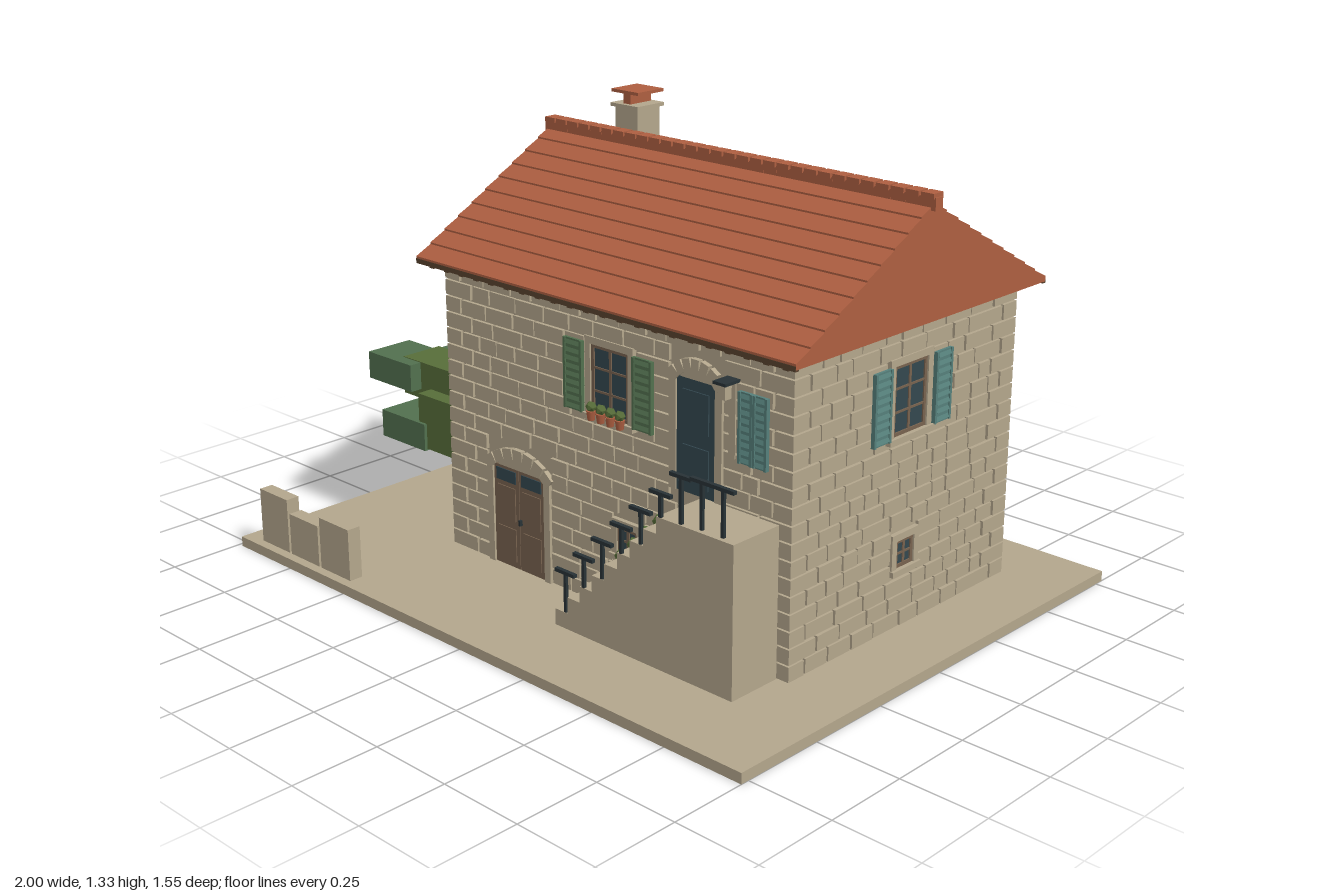
import * as THREE from 'three';
import { mergeGeometries } from 'three/addons/utils/BufferGeometryUtils.js';

const mat = (name, color) => Object.assign(new THREE.MeshStandardMaterial({ color }), { name });
const stone = mat('stone', 0xb3a68c), tile = mat('terracotta', 0xae5f41), wood = mat('door wood', 0x78634f),
  darkWood = mat('dark wood', 0x59432f), glass = mat('dark blue glass', 0x33474f), metal = mat('iron', 0x283236),
  teal = mat('teal paint', 0x56807b), leaf = mat('leaf green', 0x576d39), moss = mat('blue green', 0x52704f);

let seed = 7;
const rand = () => (seed = (seed * 16807) % 2147483647) / 2147483647;

function add(parent, name, geo, material, p = [0, 0, 0]) {
  const m = new THREE.Mesh(geo, material);
  m.name = name;
  m.position.set(...p);
  parent.add(m);
  return m;
}
const box = (parent, name, material, size, p) => add(parent, name, new THREE.BoxGeometry(...size), material, p);
// box given by its limits
const span = (parent, name, material, x0, x1, y0, y1, z0, z1) =>
  box(parent, name, material, [x1 - x0, y1 - y0, z1 - z0], [(x0 + x1) / 2, (y0 + y1) / 2, (z0 + z1) / 2]);
const group = (parent, name) => {
  const g = new THREE.Group();
  g.name = name;
  parent.add(g);
  return g;
};

const X0 = -0.485, X1 = 0.785, Z0 = -0.565, Z1 = 0.355, Y0 = 0.03, Y1 = 0.89;
const ROWS = 18, ROW = (Y1 - Y0) / ROWS, CX = (X0 + X1) / 2, CZ = (Z0 + Z1) / 2;

// Coursed stones on one wall, leaving out the openings [u0, u1, y0, y1]
function stones(wall, u0, u1, odd, openings) {
  const parts = [];
  for (let r = 0; r < ROWS; r++) {
    const y = Y0 + r * ROW, inset = r % 2 === odd ? 0.1 : 0.055;
    let spans = [[u0 + inset, u1 - inset]];
    for (const [a, b, c, d] of openings) {
      if (y + ROW * 0.7 < c || y + ROW * 0.3 > d) continue;
      spans = spans.flatMap(([s, e]) => (b <= s || a >= e ? [[s, e]] : [[s, a], [b, e]])).filter(([s, e]) => e - s > 0.015);
    }
    for (const [s, e] of spans) {
      let u = s;
      while (u < e - 0.001) {
        let w = 0.06 + rand() * 0.06;
        if (e - u - w < 0.045) w = e - u;
        const d = 0.007 + rand() * 0.004;
        parts.push(new THREE.BoxGeometry(w - 0.006, ROW - 0.006, d).translate(u + w / 2, y + ROW / 2, d / 2));
        u += w;
      }
    }
  }
  add(wall, 'wallStones', mergeGeometries(parts), stone);
}

// Stone surround, dark panes and wooden bars
function window_(wall, u, y, w, h, bars) {
  const g = group(wall, 'window'), t = 0.02;
  g.position.set(u, y, 0);
  box(g, 'glass', glass, [w, h, 0.004], [0, 0, 0.003]);
  for (const s of [-1, 1]) {
    box(g, 'surroundJamb', stone, [t, h, 0.014], [s * (w + t) / 2, 0, 0.007]);
    box(g, 'frameSide', wood, [0.01, h, 0.009], [s * (w / 2 - 0.005), 0, 0.0045]);
    box(g, 'frameRail', wood, [w, 0.01, 0.009], [0, s * (h / 2 - 0.005), 0.0045]);
  }
  box(g, 'lintel', stone, [w + 2 * t, t, 0.014], [0, (h + t) / 2, 0.007]);
  box(g, 'sill', stone, [w + 2.4 * t, t * 0.8, 0.022], [0, -(h + t * 0.8) / 2, 0.011]);
  box(g, 'mullion', wood, [0.009, h, 0.008], [0, 0, 0.004]);
  for (let i = 1; i <= bars; i++) box(g, 'glazingBar', wood, [w, 0.006, 0.008], [0, -h / 2 + (i * h) / (bars + 1), 0.004]);
}

// Louvred shutter
function shutter(wall, u, y, w, h, material) {
  const g = group(wall, 'shutter');
  g.position.set(u, y, 0.012);
  box(g, 'panel', material, [w, h, 0.008], [0, 0, 0.004]);
  for (const s of [-1, 1]) box(g, 'stile', material, [0.008, h, 0.005], [s * (w / 2 - 0.004), 0, 0.0095]);
  for (let i = 0; i < 9; i++) {
    const slat = box(g, 'slat', material, [w - 0.016, 0.012, 0.004], [0, -h / 2 + (i + 0.5) * h / 9, 0.009]);
    slat.rotation.x = -0.4;
  }
}
function shutteredWindow(wall, u, material) {
  window_(wall, u, 0.682, 0.14, 0.195, 2);
  for (const s of [-1, 1]) shutter(wall, u + s * 0.129, 0.682, 0.07, 0.2, material);
}

// Jambs, lintel and a ring of wedge stones round a doorway
function doorSurround(wall, u, half, y0, top, rise) {
  const g = group(wall, 'doorSurround'), a = half + 0.01, R = (a * a + rise * rise) / (2 * rise), A = Math.asin(a / R);
  for (const s of [-1, 1]) box(g, 'jamb', stone, [0.024, top - y0, 0.014], [u + s * (half + 0.012), (y0 + top) / 2, 0.007]);
  box(g, 'lintel', stone, [half * 1.6, rise, 0.01], [u, top + rise / 2, 0.005]);
  for (let i = 0; i < 7; i++) {
    const t = ((i - 3) / 3) * A;
    const v = box(g, 'archStone', stone, [2 * A * R / 6.6, 0.034, 0.015],
      [u + R * Math.sin(t), top + 0.005 + rise - R + R * Math.cos(t), 0.0075]);
    v.rotation.z = -t;
  }
}

function pot(parent, x, y, z, s) {
  const g = group(parent, 'flowerPot');
  g.position.set(x, y, z);
  g.scale.setScalar(s);
  add(g, 'pot', new THREE.CylinderGeometry(0.019, 0.014, 0.036, 8), tile, [0, 0.018, 0]);
  add(g, 'plant', new THREE.IcosahedronGeometry(0.022, 0), leaf, [0, 0.052, 0]);
}

export function createModel() {
  const root = new THREE.Group();
  root.name = 'stoneHouse';
  span(root, 'groundSlab', stone, -0.985, 1, 0, 0.03, -0.78, 0.775);

  // Walls, each built facing +z and turned into place
  span(root, 'wallCore', stone, X0, X1, Y0, Y1 + 0.005, Z0, Z1);
  const makeWall = (name, x, z, turn) => {
    const g = group(root, name);
    g.position.set(x, 0, z);
    g.rotation.y = turn;
    return g;
  };
  const big = u => [u - 0.096, u + 0.096, 0.565, 0.8], small = u => [u - 0.057, u + 0.057, 0.19, 0.3];
  const front = makeWall('frontWall', 0, Z1, 0), back = makeWall('backWall', 0, Z0, Math.PI);
  const right = makeWall('plusXWall', X1, 0, Math.PI / 2), left = makeWall('minusXWall', X0, 0, -Math.PI / 2);
  stones(front, X0, X1, 0, [[-0.335, -0.075, 0, 0.39], [0.38, 0.565, 0.44, 0.825], big(0.1625), small(0.225)]);
  stones(back, -X1, -X0, 0, [big(-0.5), big(0.17), small(-0.16)]);
  stones(right, -Z1, -Z0, 1, [big(-CZ), small(-CZ)]);
  stones(left, Z0, Z1, 1, [big(CZ), small(CZ)]);
  [[front, 0.1625, moss], [back, -0.5, teal], [back, 0.17, teal], [right, -CZ, teal], [left, CZ, moss]]
    .forEach(([w, u, m]) => shutteredWindow(w, u, m));
  [[front, 0.225], [back, -0.16], [right, -CZ], [left, CZ]].forEach(([w, u]) => window_(w, u, 0.245, 0.075, 0.08, 1));

  // Corner stones, alternately long and short
  for (const sx of [0, 1]) for (const sz of [0, 1]) for (let r = 0; r < ROWS; r++) {
    const lx = r % 2 === 0 ? 0.095 : 0.05, lz = r % 2 === 0 ? 0.05 : 0.095, o = 0.01;
    const x = sx ? X1 + o - (lx + o) / 2 : X0 - o + (lx + o) / 2, z = sz ? Z1 + o - (lz + o) / 2 : Z0 - o + (lz + o) / 2;
    box(root, 'cornerStone', stone, [lx + o, ROW - 0.005, lz + o], [x, Y0 + (r + 0.5) * ROW, z]);
  }

  // Double door at ground level
  doorSurround(front, -0.205, 0.105, 0.03, 0.335, 0.04);
  for (const s of [-1, 1]) {
    const x = -0.205 + s * 0.052;
    box(front, 'doorLeaf', wood, [0.102, 0.303, 0.008], [x, 0.183, 0.005]);
    box(front, 'doorPane', glass, [0.08, 0.036, 0.003], [x, 0.308, 0.0105]);
    box(front, 'doorPanel', wood, [0.074, 0.1, 0.004], [x, 0.225, 0.01]);
    box(front, 'doorPanel', wood, [0.074, 0.1, 0.004], [x, 0.1, 0.01]);
  }
  box(front, 'doorHandle', metal, [0.008, 0.016, 0.01], [-0.197, 0.18, 0.014]);

  // Upper door, closed shutter and lantern at the landing
  doorSurround(front, 0.4725, 0.0675, 0.453, 0.765, 0.035);
  box(front, 'upperDoor', glass, [0.135, 0.312, 0.008], [0.4725, 0.609, 0.005]);
  for (const y of [0.53, 0.68]) box(front, 'upperDoorPanel', glass, [0.09, 0.11, 0.004], [0.4725, y, 0.011]);
  for (const s of [-1, 1]) shutter(front, 0.6725 + s * 0.024, 0.682, 0.047, 0.19, teal);
  box(front, 'lanternBacking', stone, [0.022, 0.2, 0.014], [0.598, 0.69, 0.007]);
  box(front, 'lantern', stone, [0.022, 0.04, 0.025], [0.6, 0.776, 0.043]);
  box(front, 'lanternTop', metal, [0.042, 0.008, 0.055], [0.6, 0.8, 0.038]);

  // Window box pots
  for (let i = 0; i < 4; i++) pot(front, 0.11 + i * 0.036, 0.573, 0.028, 0.72);

  // Outside stair, one solid stepped profile
  const N = 9, RUN = 0.047, stair = new THREE.Shape();
  stair.moveTo(0.12, Y0);
  for (let i = 0; i < N; i++) {
    stair.lineTo(0.12 + i * RUN, Y0 + (i + 1) * RUN);
    stair.lineTo(i === N - 1 ? 0.755 : 0.12 + (i + 1) * RUN, Y0 + (i + 1) * RUN);
  }
  stair.lineTo(0.755, Y0);
  add(root, 'stair', new THREE.ExtrudeGeometry(stair, { depth: 0.185, bevelEnabled: false }), stone, [0, 0, 0.35]);
  for (let i = 0; i < 4; i++) pot(root, 0.24 + i * RUN, Y0 + (i + 3) * RUN, 0.4, 1);

  // Iron railing with a stepped handrail
  for (let i = 0; i < 9; i++) {
    const x = 0.157 + i * 0.07, top = Math.min(0.195 + i * 0.065, 0.59);
    box(root, 'railPost', metal, [0.009, 0.13, 0.009], [x, top - 0.065, 0.53]);
    box(root, 'handrail', metal, [0.074, 0.01, 0.012], [x, top - 0.003, 0.53]);
  }

  // Roof with slightly stepped tile courses
  const HALF = 0.527, EAVE = 0.903, RIDGE = 1.203, COURSES = 10, slope = [];
  for (let i = 0; i < COURSES; i++) for (const [t, lift] of [[i, 0.005], [i + 1, 0]])
    slope.push([HALF * (1 - t / COURSES), EAVE + (RIDGE - EAVE) * t / COURSES + lift]);
  const profile = new THREE.Shape([[HALF, 0.892], ...slope, ...slope.slice(0, -1).reverse().map(([u, y]) => [-u, y]), [-HALF, 0.892]]
    .map(p => new THREE.Vector2(...p)));
  add(root, 'roof', new THREE.ExtrudeGeometry(profile, { depth: 1.395, bevelEnabled: false }).rotateY(-Math.PI / 2), tile, [0.845, 0, CZ]);
  for (const s of [-1, 1]) {
    box(root, 'eaveBoard', darkWood, [1.395, 0.014, 0.012], [0.1475, 0.895, CZ + s * (HALF - 0.005)]);
    for (let i = 0; i < 22; i++) box(root, 'rafterTail', darkWood, [0.018, 0.014, 0.055], [-0.5 + i * 0.062, 0.886, CZ + s * 0.487]);
  }
  for (let i = 0; i < 30; i++) {
    const x = -0.533 + i * 0.0472;
    box(root, 'ridgeTileBase', tile, [0.047, 0.034, 0.03], [x, 1.205, CZ]);
    box(root, 'ridgeTile', tile, [0.04, 0.014, 0.04], [x, 1.226, CZ]);
  }

  // Chimney
  span(root, 'chimneyShaft', stone, -0.335, -0.245, 1.05, 1.288, -0.25, -0.16);
  span(root, 'chimneyLedge', stone, -0.345, -0.235, 1.284, 1.294, -0.26, -0.15);
  span(root, 'chimneyVent', tile, -0.306, -0.278, 1.294, 1.326, -0.25, -0.165);
  span(root, 'chimneyCap', tile, -0.345, -0.238, 1.325, 1.334, -0.26, -0.155);

  // Low garden wall blocks
  [[-0.915, -0.785, 0.195], [-0.775, -0.643, 0.155], [-0.633, -0.5, 0.185]]
    .forEach(([a, b, h]) => span(root, 'gardenWall', stone, a, b, Y0, h, 0.705, 0.747));

  // Tree: trunk and a cluster of leaf blocks
  const tree = group(root, 'tree');
  add(tree, 'trunk', new THREE.CylinderGeometry(0.026, 0.034, 0.25, 7), darkWood, [-0.77, 0.155, 0]);
  [[-1, -0.81, 0.39, 0.48, -0.29, -0.1, leaf], [-0.72, -0.58, 0.37, 0.455, -0.26, -0.08, leaf],
    [-0.885, -0.605, 0.39, 0.487, -0.22, -0.03, leaf], [-0.93, -0.7, 0.33, 0.46, -0.1, 0.1, moss],
    [-0.73, -0.53, 0.28, 0.43, -0.15, 0.08, moss], [-1, -0.8, 0.4, 0.485, 0.1, 0.26, moss],
    [-0.755, -0.555, 0.24, 0.41, 0.08, 0.27, leaf], [-0.92, -0.72, 0.235, 0.32, 0.06, 0.28, moss],
    [-0.7, -0.505, 0.22, 0.3, -0.08, 0.13, moss], [-0.88, -0.58, 0.37, 0.487, 0.08, 0.22, leaf],
    [-1, -0.8, 0.325, 0.4, -0.1, 0.08, leaf], [-0.93, -0.75, 0.24, 0.33, -0.2, -0.03, moss]]
    .forEach(([a, b, c, d, e, f, m]) => span(tree, 'leafBlock', m, a, b, c, d, e, f));
  return root;
}
